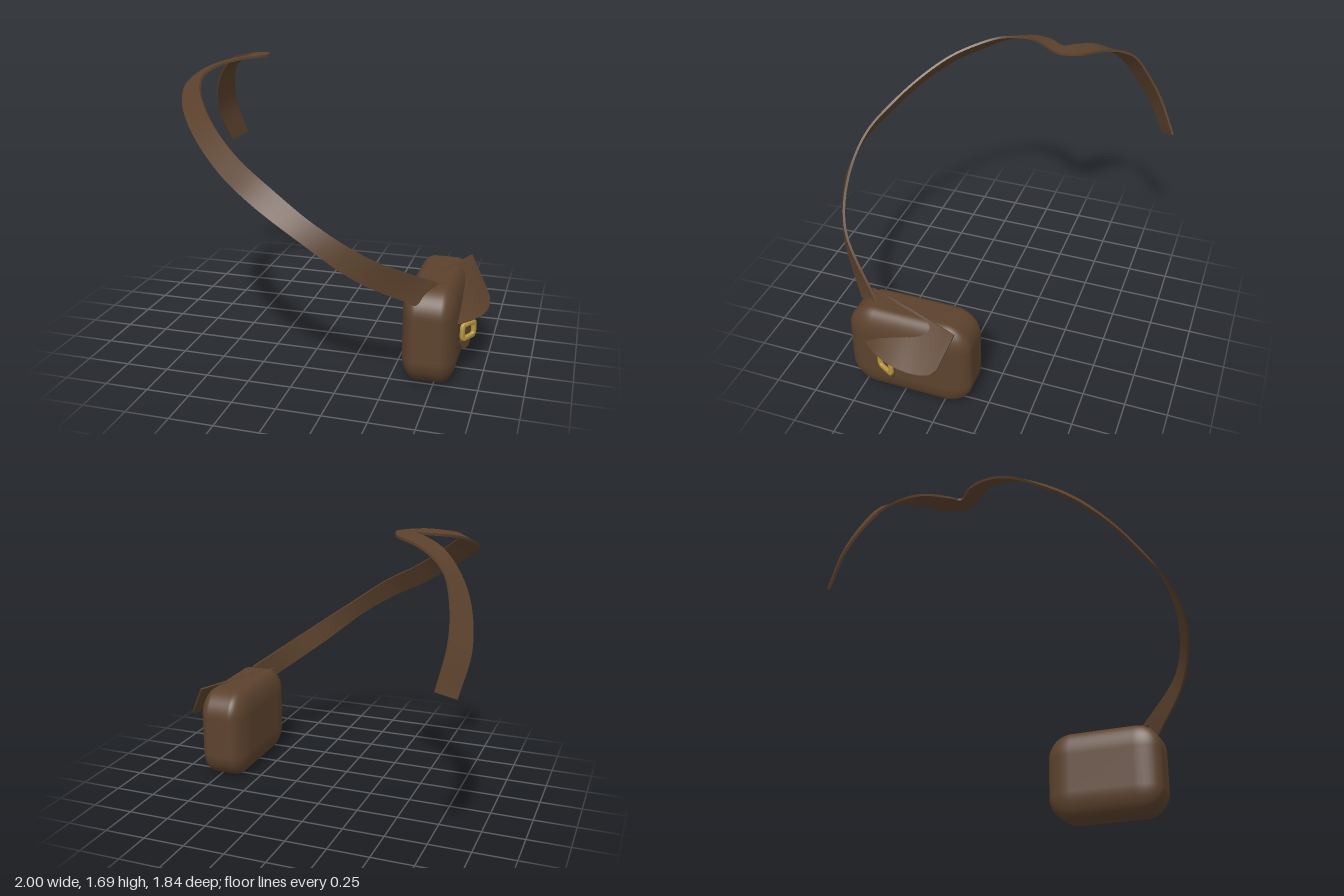
import * as THREE from 'three';
import { toCreasedNormals } from 'three/addons/utils/BufferGeometryUtils.js';
import { RoundedBoxGeometry } from 'three/addons/geometries/RoundedBoxGeometry.js';

const curve = (pts) => new THREE.CatmullRomCurve3(pts.map((p) => new THREE.Vector3(...p)));

// A thin band between two edge curves, closed on all sides
function band(edgeA, edgeB, steps, half) {
  const ca = curve(edgeA), cb = curve(edgeB);
  const pos = [], idx = [];
  for (let i = 0; i <= steps; i++) {
    const t = i / steps;
    const a = ca.getPoint(t), b = cb.getPoint(t);
    const along = ca.getTangent(t).add(cb.getTangent(t));
    const n = b.clone().sub(a).cross(along).normalize().multiplyScalar(half);
    for (const p of [a.clone().add(n), b.clone().add(n), b.clone().sub(n), a.clone().sub(n)]) {
      pos.push(p.x, p.y, p.z);
    }
  }
  for (let i = 0; i < steps; i++) {
    for (let k = 0; k < 4; k++) {
      const p = i * 4 + k, q = i * 4 + (k + 1) % 4;
      idx.push(p, q, p + 4, q, q + 4, p + 4);
    }
  }
  const e = steps * 4;
  idx.push(0, 2, 1, 0, 3, 2, e, e + 1, e + 2, e, e + 2, e + 3);
  const g = new THREE.BufferGeometry();
  g.setAttribute('position', new THREE.Float32BufferAttribute(pos, 3));
  g.setIndex(idx);
  return toCreasedNormals(g, 0.7);
}

// Rounded rectangle centred on the origin
function roundRect(path, w, h, r) {
  const x = w / 2, y = h / 2;
  path.moveTo(-x + r, -y);
  path.lineTo(x - r, -y); path.quadraticCurveTo(x, -y, x, -y + r);
  path.lineTo(x, y - r); path.quadraticCurveTo(x, y, x - r, y);
  path.lineTo(-x + r, y); path.quadraticCurveTo(-x, y, -x, y - r);
  path.lineTo(-x, -y + r); path.quadraticCurveTo(-x, -y, -x + r, -y);
  return path;
}

export function createModel() {
  const group = new THREE.Group();
  const leather = new THREE.MeshStandardMaterial({ color: 0x5c422d, side: THREE.DoubleSide });
  leather.name = 'brown leather';
  const brass = new THREE.MeshStandardMaterial({ color: 0xb8993f });
  brass.name = 'brass';
  const add = (name, geometry, material) => {
    const m = new THREE.Mesh(geometry, material);
    m.name = name;
    group.add(m);
    return m;
  };

  // Pouch: soft box, with tighter rounding across its thickness
  const pouch = new RoundedBoxGeometry(0.56, 0.57, 0.745, 8, 0.16);
  pouch.scale(0.55, 1, 1);
  add('pouch', pouch, leather).position.set(0.715, 0.285, 0.21);

  // Shoulder strap: inner and outer edge, from the pouch to the free end
  const inner = [
    [0.75, 0.58, 0.43], [0.45, 0.80, 0.755], [0.18, 0.99, 0.85], [-0.06, 1.16, 0.835],
    [-0.27, 1.28, 0.745], [-0.45, 1.40, 0.615], [-0.58, 1.50, 0.47], [-0.67, 1.57, 0.31],
    [-0.70, 1.615, 0.18], [-0.66, 1.655, 0.0], [-0.58, 1.675, -0.1], [-0.465, 1.68, -0.25],
    [-0.50, 1.675, -0.37], [-0.62, 1.66, -0.47], [-0.74, 1.62, -0.56], [-0.83, 1.55, -0.64],
    [-0.88, 1.42, -0.72], [-0.90, 1.26, -0.81], [-0.87, 1.04, -0.915],
  ];
  const outer = [
    [0.65, 0.49, 0.57], [0.37, 0.70, 0.81], [0.10, 0.92, 0.91], [-0.14, 1.07, 0.885],
    [-0.34, 1.18, 0.79], [-0.53, 1.31, 0.655], [-0.68, 1.42, 0.49], [-0.78, 1.50, 0.31],
    [-0.81, 1.56, 0.18], [-0.77, 1.62, 0.02], [-0.69, 1.655, -0.13], [-0.575, 1.675, -0.25],
    [-0.62, 1.67, -0.29], [-0.75, 1.635, -0.40], [-0.84, 1.57, -0.48], [-0.92, 1.47, -0.56],
    [-0.97, 1.35, -0.63], [-0.995, 1.19, -0.73], [-0.96, 0.99, -0.84],
  ];
  add('shoulderStrap', band(inner, outer, 108, 0.007), leather);

  // Flap: hangs askew from a slanted top edge, partly sunk in the pouch
  const hinge = [
    [0.62, 0.555, 0.51], [0.67, 0.573, 0.40], [0.725, 0.575, 0.26],
    [0.78, 0.575, 0.11], [0.83, 0.575, -0.02], [0.86, 0.575, -0.09],
  ];
  const hem = [
    [0.865, 0.36, 0.46], [0.93, 0.355, 0.37], [0.98, 0.345, 0.25],
    [0.995, 0.34, 0.10], [0.985, 0.36, 0.01], [0.965, 0.39, -0.025],
  ];
  add('flap', band(hinge, hem, 24, 0.005), leather);

  // Fastening, turned with the flap
  const clasp = new THREE.Group();
  clasp.name = 'clasp';
  clasp.position.set(0.885, 0, 0.305);
  clasp.rotation.y = 1.07;
  group.add(clasp);

  // Fastening tab with a rounded tip
  const tabShape = new THREE.Shape();
  tabShape.moveTo(-0.045, 0.37);
  tabShape.lineTo(-0.045, 0.20);
  tabShape.quadraticCurveTo(-0.035, 0.16, 0, 0.152);
  tabShape.quadraticCurveTo(0.035, 0.16, 0.045, 0.20);
  tabShape.lineTo(0.045, 0.37);
  const tab = new THREE.Mesh(
    new THREE.ExtrudeGeometry(tabShape, { depth: 0.014, bevelEnabled: false }), leather);
  tab.name = 'fasteningTab';
  clasp.add(tab);

  // Buckle: rounded rectangular ring
  const ring = roundRect(new THREE.Shape(), 0.122, 0.1, 0.03);
  ring.holes.push(roundRect(new THREE.Path(), 0.088, 0.066, 0.016));
  const buckleGeometry = new THREE.ExtrudeGeometry(ring, {
    depth: 0.012, bevelThickness: 0.005, bevelSize: 0.005, bevelSegments: 3, curveSegments: 6,
  });
  const buckle = new THREE.Mesh(toCreasedNormals(buckleGeometry, 0.8), brass);
  buckle.name = 'buckle';
  buckle.position.set(0, 0.273, 0.022);
  clasp.add(buckle);

  return group;
}
